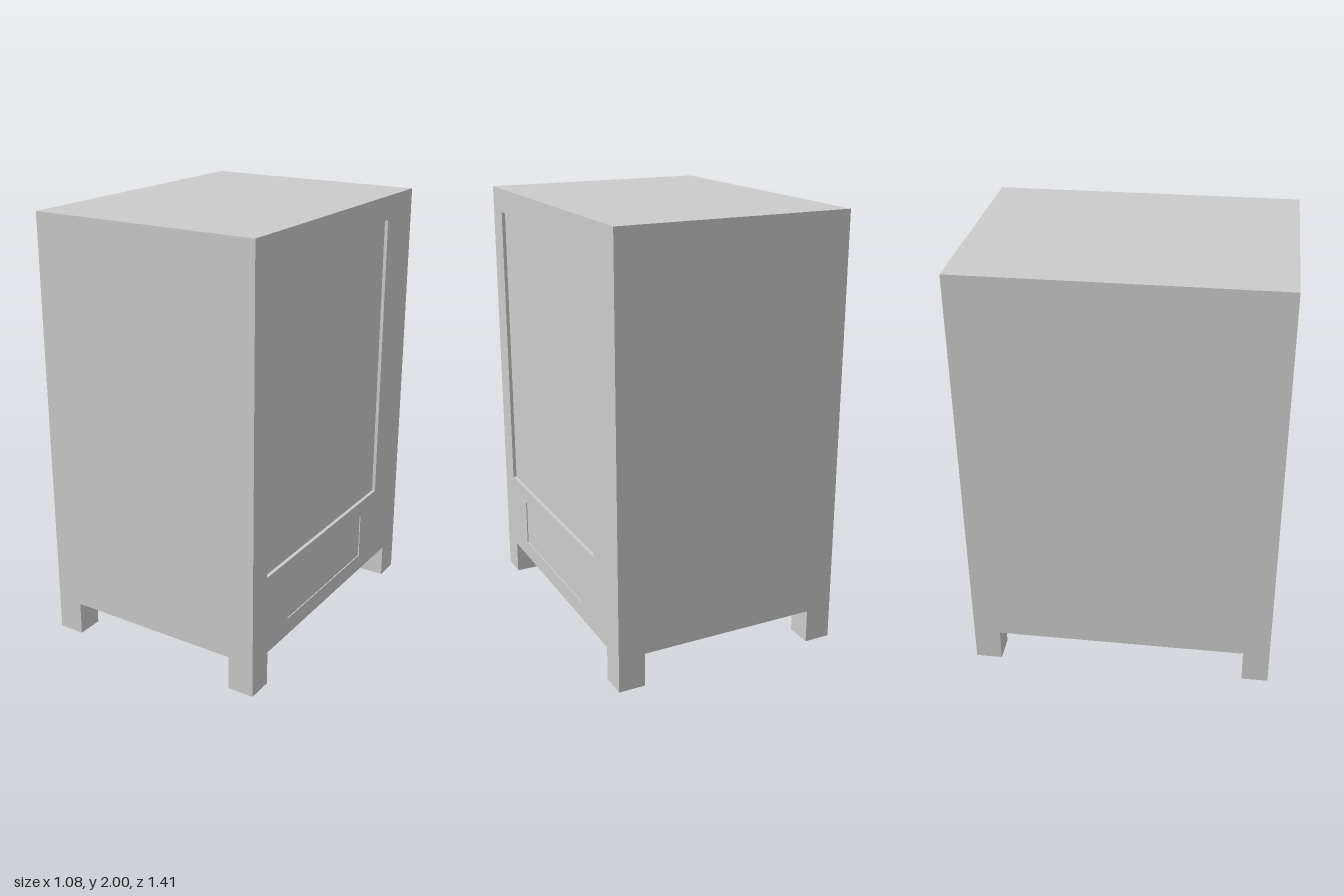
import * as THREE from 'three';

export function createModel() {
  const group = new THREE.Group();
  const mat = new THREE.MeshStandardMaterial({ color: 0xcccccc });
  const W = 0.54, D = 0.707, BOTTOM = 0.157, TOP = 2;
  const FRAME = 0.016; // depth of the window recess

  const add = (name, geometry) => {
    const mesh = new THREE.Mesh(geometry, mat);
    mesh.name = name;
    group.add(mesh);
    return mesh;
  };
  const box = (name, x0, x1, y0, y1, z0, z1) =>
    add(name, new THREE.BoxGeometry(x1 - x0, y1 - y0, z1 - z0))
      .position.set((x0 + x1) / 2, (y0 + y1) / 2, (z0 + z1) / 2);
  // rectangle on the +x face; the shape's x axis runs along -z
  const rect = (Type, z0, z1, y0, y1) => new Type([
    new THREE.Vector2(-z1, y0), new THREE.Vector2(-z0, y0),
    new THREE.Vector2(-z0, y1), new THREE.Vector2(-z1, y1),
  ]);

  // cabinet, whose +x side is the back of the recessed window
  box('cabinet', -W, W - FRAME, BOTTOM, TOP, -D, D);

  // face frame with openings for the display window and the delivery hatch
  const face = rect(THREE.Shape, -D, D, BOTTOM, TOP);
  face.holes.push(rect(THREE.Path, -0.455, 0.593, 0.53, 1.89));
  face.holes.push(rect(THREE.Path, -0.3, 0.413, 0.237, 0.456));
  const frame = new THREE.ExtrudeGeometry(face, { depth: FRAME, bevelEnabled: false });
  frame.rotateY(Math.PI / 2);
  add('faceFrame', frame).position.x = W - FRAME;

  // delivery hatch, set slightly back in its opening
  box('deliveryHatch', W - FRAME, W - 0.005, 0.237, 0.456, -0.3, 0.413);

  // four corner feet
  const legW = 0.123;
  for (const sx of [-1, 1]) {
    for (const sz of [-1, 1]) {
      add('foot', new THREE.BoxGeometry(legW, BOTTOM, legW))
        .position.set(sx * (W - legW / 2), BOTTOM / 2, sz * (D - legW / 2));
    }
  }
  return group;
}
